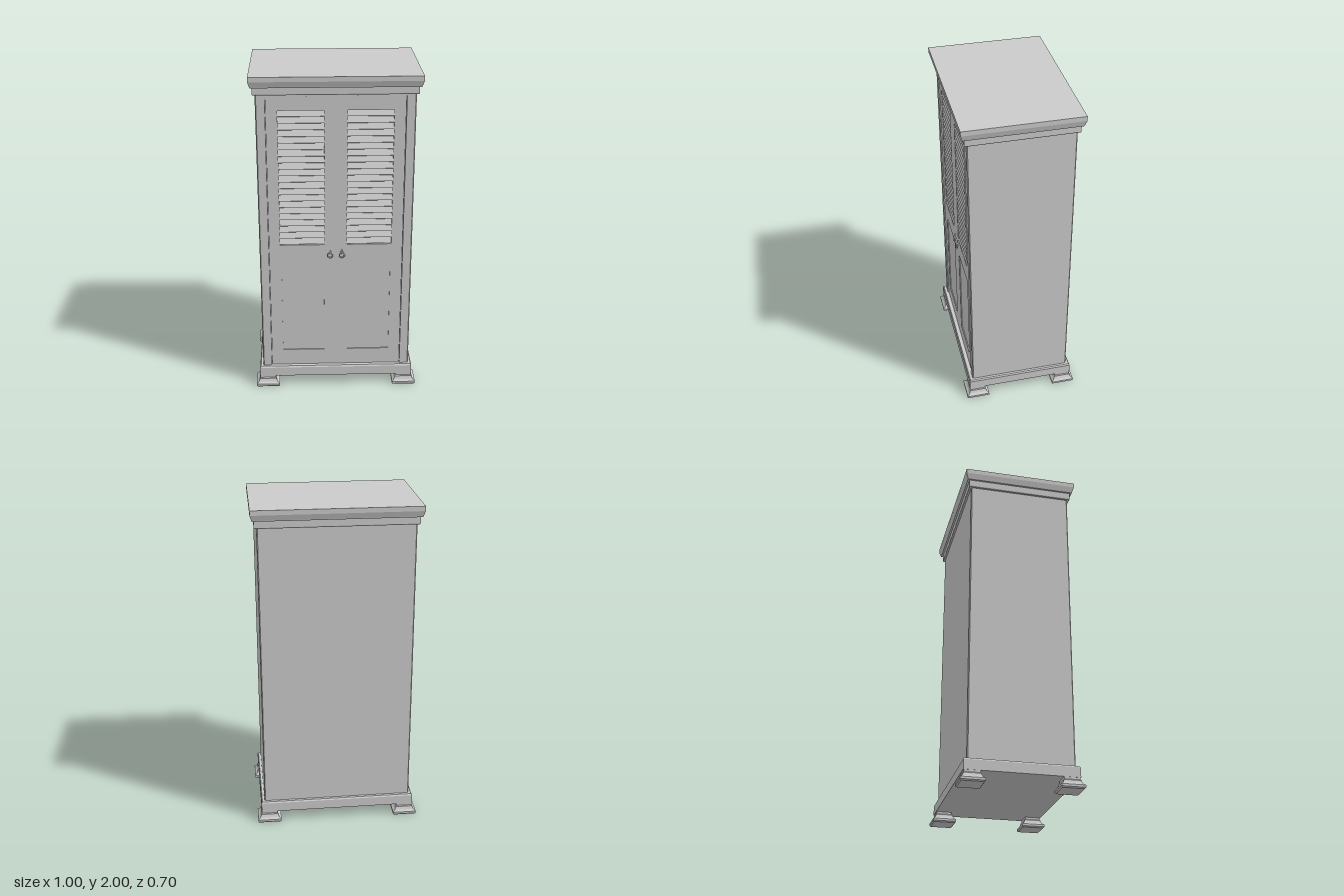
import * as THREE from 'three';

const grey = new THREE.MeshStandardMaterial({ color: 0xcccccc, flatShading: true });

function add(parent, name, geometry, x = 0, y = 0, z = 0) {
  const mesh = new THREE.Mesh(geometry, grey);
  mesh.name = name;
  mesh.position.set(x, y, z);
  parent.add(mesh);
  return mesh;
}

// Rectangular moulding: rings of [half width, half depth, y] joined bottom to top, with caps
function moulding(rings) {
  const pos = [];
  const corner = ([w, d, y], i) => [[w, y, d], [w, y, -d], [-w, y, -d], [-w, y, d]][i % 4];
  const quad = (a, b, c, d) => pos.push(...a, ...b, ...c, ...a, ...c, ...d);
  for (let r = 0; r < rings.length - 1; r++) {
    for (let i = 0; i < 4; i++) {
      quad(corner(rings[r], i), corner(rings[r], i + 1), corner(rings[r + 1], i + 1), corner(rings[r + 1], i));
    }
  }
  const lo = rings[0], hi = rings[rings.length - 1];
  quad(corner(hi, 0), corner(hi, 1), corner(hi, 2), corner(hi, 3));
  quad(corner(lo, 3), corner(lo, 2), corner(lo, 1), corner(lo, 0));
  const g = new THREE.BufferGeometry();
  g.setAttribute('position', new THREE.Float32BufferAttribute(pos, 3));
  g.computeVertexNormals();
  return g;
}

function rectPath(x0, y0, x1, y1, PathType = THREE.Path) {
  const p = new PathType();
  p.moveTo(x0, y0);
  p.lineTo(x1, y0);
  p.lineTo(x1, y1);
  p.lineTo(x0, y1);
  p.closePath();
  return p;
}

const extrude = (shape, depth) => new THREE.ExtrudeGeometry(shape, { depth, bevelEnabled: false });

const FRONT = 0.308, DOOR = 0.301, NOTCH = 0.275;

// Carcass: chamfered plan with a shallow notch in front for the doors
function buildCarcass(parent) {
  const w = 0.457, c = 0.006;
  const plan = [
    [w - c, -FRONT], [w, -FRONT + c], [w, FRONT - c], [w - c, FRONT],
    [0.402, FRONT], [0.402, NOTCH], [-0.402, NOTCH], [-0.402, FRONT],
    [-w + c, FRONT], [-w, FRONT - c], [-w, -FRONT + c], [-w + c, -FRONT],
  ].map(([x, z]) => new THREE.Vector2(x, -z));
  const g = extrude(new THREE.Shape(plan), 1.775);
  g.rotateX(-Math.PI / 2);
  add(parent, 'carcass', g, 0, 0.125, 0);
  add(parent, 'topRail', new THREE.BoxGeometry(0.804, 0.02, FRONT - NOTCH), 0, 1.89, (FRONT + NOTCH) / 2);
}

// One door: frame with louvred opening above and sunk panel below
function buildDoor(side) {
  const door = new THREE.Group();
  door.name = side > 0 ? 'leftDoor' : 'rightDoor';
  const mid = side * 0.2;
  const px = 0.133;
  const frame = rectPath(mid - 0.2, 0.132, mid + 0.2, 1.878, THREE.Shape);
  frame.holes.push(rectPath(mid - px, 0.96, mid + px, 1.795));
  frame.holes.push(rectPath(mid - px + 0.004, 0.24, mid + px - 0.004, 0.842));
  add(door, 'doorFrame', extrude(frame, DOOR - NOTCH), 0, 0, NOTCH);
  add(door, 'lowerPanel', new THREE.BoxGeometry(0.262, 0.606, 0.018), mid, 0.541, 0.286);

  const count = 21, pitch = 0.835 / count;
  for (let i = 0; i < count; i++) {
    const slat = add(door, 'louvreSlat', new THREE.BoxGeometry(2 * px, 0.038, 0.008), mid, 0.96 + pitch * (i + 0.5), 0.288);
    slat.rotation.x = -0.5;
  }

  // Drop-ring pull
  const pull = new THREE.Group();
  pull.name = 'pull';
  pull.position.set(side * 0.036, 0.9, DOOR);
  const plate = new THREE.Shape([[0, -0.015], [0.011, -0.004], [0.011, 0.01], [0.004, 0.018], [0, 0.03],
    [-0.004, 0.018], [-0.011, 0.01], [-0.011, -0.004]].map(([x, y]) => new THREE.Vector2(x, y)));
  add(pull, 'pullPlate', extrude(plate, 0.004));
  add(pull, 'pullRing', new THREE.TorusGeometry(0.015, 0.0035, 8, 20), 0, -0.009, 0.008);
  add(pull, 'pullStud', new THREE.SphereGeometry(0.006, 10, 8), 0, 0.008, 0.007);
  add(pull, 'pullDrop', new THREE.SphereGeometry(0.006, 10, 8), 0, -0.022, 0.008);
  door.add(pull);
  return door;
}

export function createModel() {
  const model = new THREE.Group();
  model.name = 'cabinet';

  buildCarcass(model);
  for (const side of [-1, 1]) model.add(buildDoor(side));

  // Plinth and stepped cornice
  add(model, 'plinth', moulding([
    [0.477, 0.33, 0.068], [0.477, 0.33, 0.126], [0.471, 0.324, 0.135],
  ]));
  add(model, 'corniceLower', moulding([
    [0.468, 0.319, 1.89], [0.471, 0.322, 1.896], [0.471, 0.322, 1.936],
  ]));
  add(model, 'corniceTop', moulding([
    [0.482, 0.333, 1.935], [0.485, 0.336, 1.945], [0.493, 0.345, 1.972], [0.493, 0.345, 2],
  ]));

  // Four stepped bracket feet
  const foot = moulding([
    [0.066, 0.064, 0], [0.0725, 0.07, 0.007], [0.0725, 0.07, 0.02], [0.06, 0.058, 0.03],
    [0.053, 0.051, 0.045], [0.053, 0.051, 0.05], [0.048, 0.046, 0.055], [0.048, 0.046, 0.07],
  ]);
  for (const x of [-0.4275, 0.4275]) {
    for (const z of [-0.28, 0.28]) add(model, 'foot', foot, x, 0, z);
  }
  return model;
}
